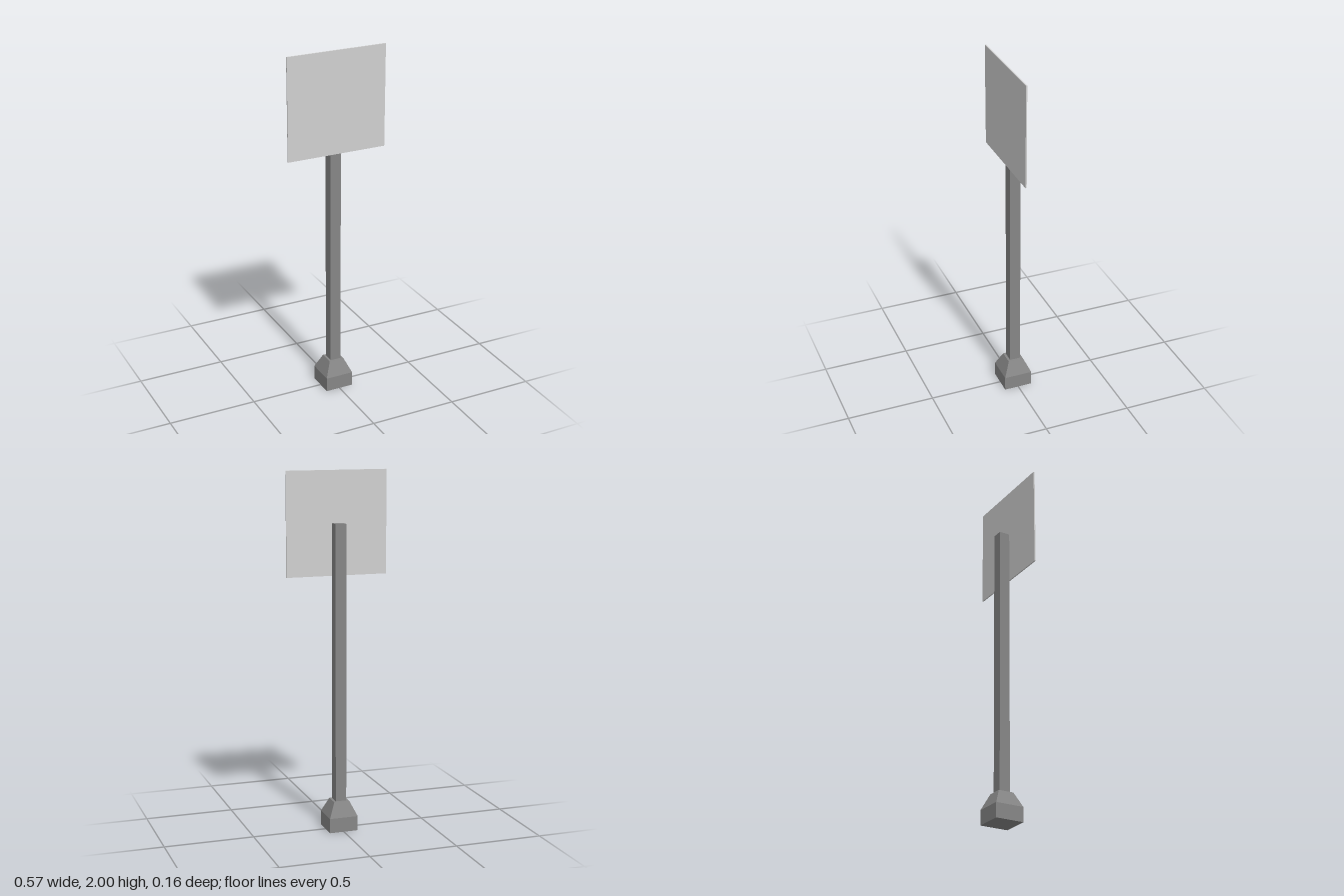
import * as THREE from 'three';

export function createModel() {
  const group = new THREE.Group();
  const postGrey = new THREE.MeshStandardMaterial({ color: 0x868686 });
  const panelGrey = new THREE.MeshStandardMaterial({ color: 0xd0d0d0 });

  function add(name, geometry, material, y, z = 0) {
    const mesh = new THREE.Mesh(geometry, material);
    mesh.name = name;
    mesh.position.set(0, y, z);
    group.add(mesh);
  }

  // Square foot: a block with a tapered collar, as one closed box column
  const foot = new THREE.BoxGeometry(0.163, 0.165, 0.163, 1, 2, 1).toNonIndexed();
  const pos = foot.attributes.position;
  for (let i = 0; i < pos.count; i++) {
    if (pos.getY(i) > 0.08) {
      pos.setX(i, Math.sign(pos.getX(i)) * 0.044);
      pos.setZ(i, Math.sign(pos.getZ(i)) * 0.044);
    }
  }
  foot.computeVertexNormals();
  add('foot', foot, postGrey, 0.0825);

  // Square post rising from the foot to the middle of the panel
  add('post', new THREE.BoxGeometry(0.062, 1.55, 0.062), postGrey, 0.94);

  // Thin square sign panel standing just in front of the post
  add('signPanel', new THREE.BoxGeometry(0.573, 0.573, 0.007), panelGrey, 1.7135, 0.0425);

  return group;
}
